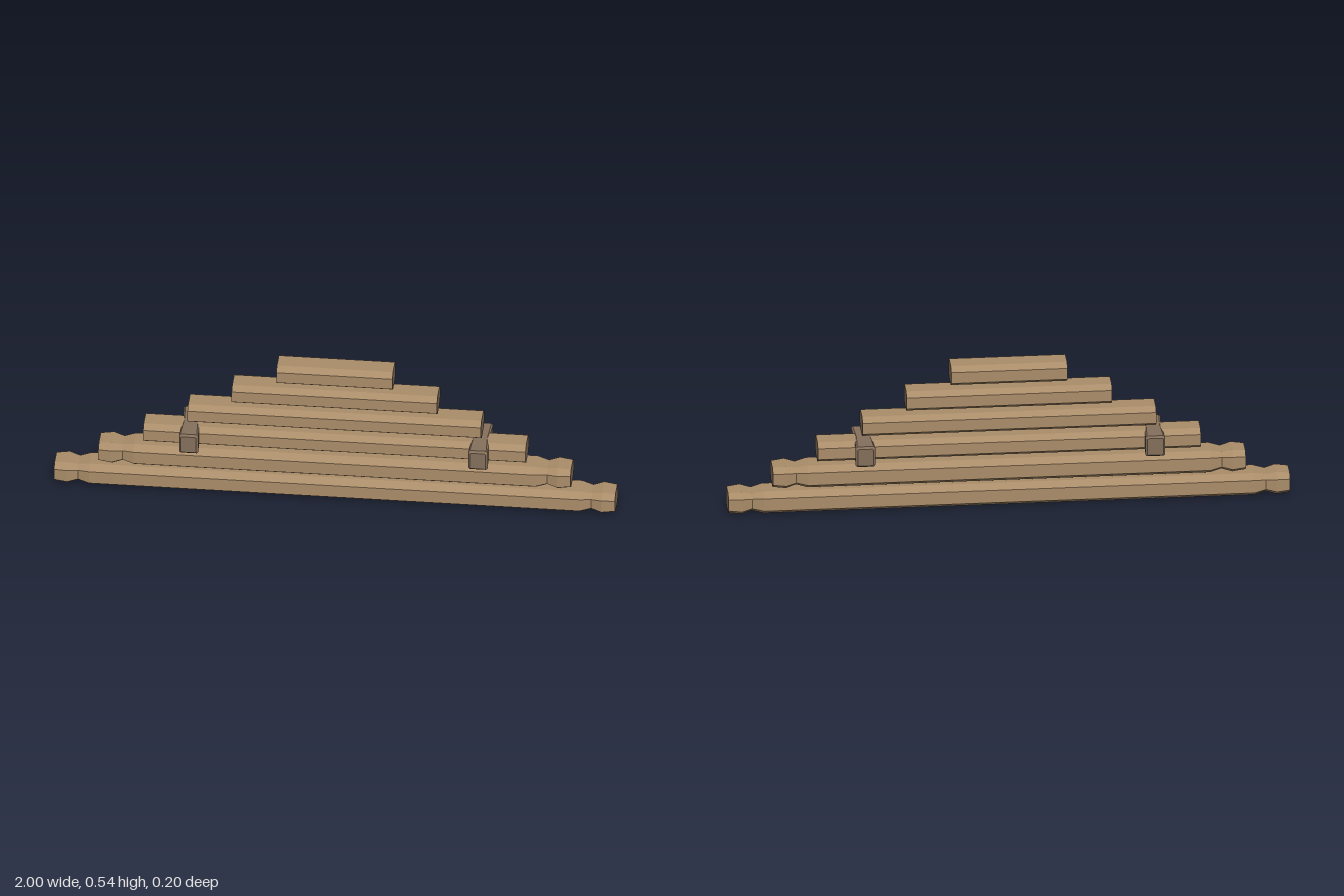
import * as THREE from 'three';

// Chamfered rectangle at depth z, counter-clockwise seen from +z
function ring(z, hw, hh, cw, ch) {
  return [
    [hw, -hh + ch], [hw, hh - ch], [hw - cw, hh], [-hw + cw, hh],
    [-hw, hh - ch], [-hw, -hh + ch], [-hw + cw, -hh], [hw - cw, -hh],
  ].map(([x, y]) => new THREE.Vector3(x, y, z));
}

// Skin a row of rings (from -z to +z); group 0 is the side, group 1 the two caps
function loft(rings) {
  const pts = [];
  const n = rings[0].length;
  for (let r = 0; r < rings.length - 1; r++) {
    const a = rings[r], b = rings[r + 1];
    for (let i = 0; i < n; i++) {
      const j = (i + 1) % n;
      pts.push(a[i], a[j], b[j], a[i], b[j], b[i]);
    }
  }
  const sideCount = pts.length;
  const back = rings[0], front = rings[rings.length - 1];
  for (let i = 1; i < n - 1; i++) {
    pts.push(front[0], front[i], front[i + 1], back[0], back[i + 1], back[i]);
  }
  const g = new THREE.BufferGeometry().setFromPoints(pts);
  g.addGroup(0, sideCount, 0);
  g.addGroup(sideCount, pts.length - sideCount, 1);
  g.computeVertexNormals();
  return g;
}

// Octagonal log from half-length stations [distance from centre, scale], outermost first
function logGeometry(stations) {
  const all = [
    ...stations.map(([d, s]) => [-d, s]),
    ...[...stations].reverse(),
  ];
  return loft(all.map(([z, s]) => ring(z, 0.056 * s, 0.037 * s, 0.0235 * s, 0.016 * s)));
}

export function createModel() {
  const wood = new THREE.MeshStandardMaterial({ color: 0xa98c69 });
  wood.name = 'wood';
  wood.flatShading = true;
  const cutWood = new THREE.MeshStandardMaterial({ color: 0x846f5b });
  cutWood.name = 'cutWood';
  cutWood.flatShading = true;

  const model = new THREE.Group();
  model.name = 'logWall';

  // Stack of logs: half length, height of centre, notched ends or not
  const logs = [
    [1.0, 0.0427, true],
    [0.842, 0.136, true],
    [0.682, 0.2285, false],
    [0.523, 0.3205, false],
    [0.366, 0.4125, false],
    [0.207, 0.5047, false],
  ];
  logs.forEach(([half, y, notched], i) => {
    const stations = notched
      ? [[half, 1], [half - 0.047, 1.13], [half - 0.085, 0.88], [half - 0.126, 1.13]]
      : [[half, 1]];
    const log = new THREE.Mesh(logGeometry(stations), [wood, cutWood]);
    log.name = `log${i + 1}`;
    log.rotation.y = Math.PI / 2;
    log.position.y = y;
    model.add(log);
  });

  // Cross beams poking through the third log, slightly waisted, with bevelled ends
  const beam = loft([
    ring(-0.1, 0.028, 0.032, 0.004, 0.004),
    ring(-0.092, 0.035, 0.039, 0.006, 0.006),
    ring(0, 0.03, 0.038, 0.006, 0.006),
    ring(0.092, 0.035, 0.039, 0.006, 0.006),
    ring(0.1, 0.028, 0.032, 0.004, 0.004),
  ]);
  for (const side of [-1, 1]) {
    const mesh = new THREE.Mesh(beam, [cutWood, cutWood]);
    mesh.name = side > 0 ? 'crossBeamLeft' : 'crossBeamRight';
    mesh.position.set(side * 0.516, 0.2285, 0);
    model.add(mesh);
  }
  return model;
}
